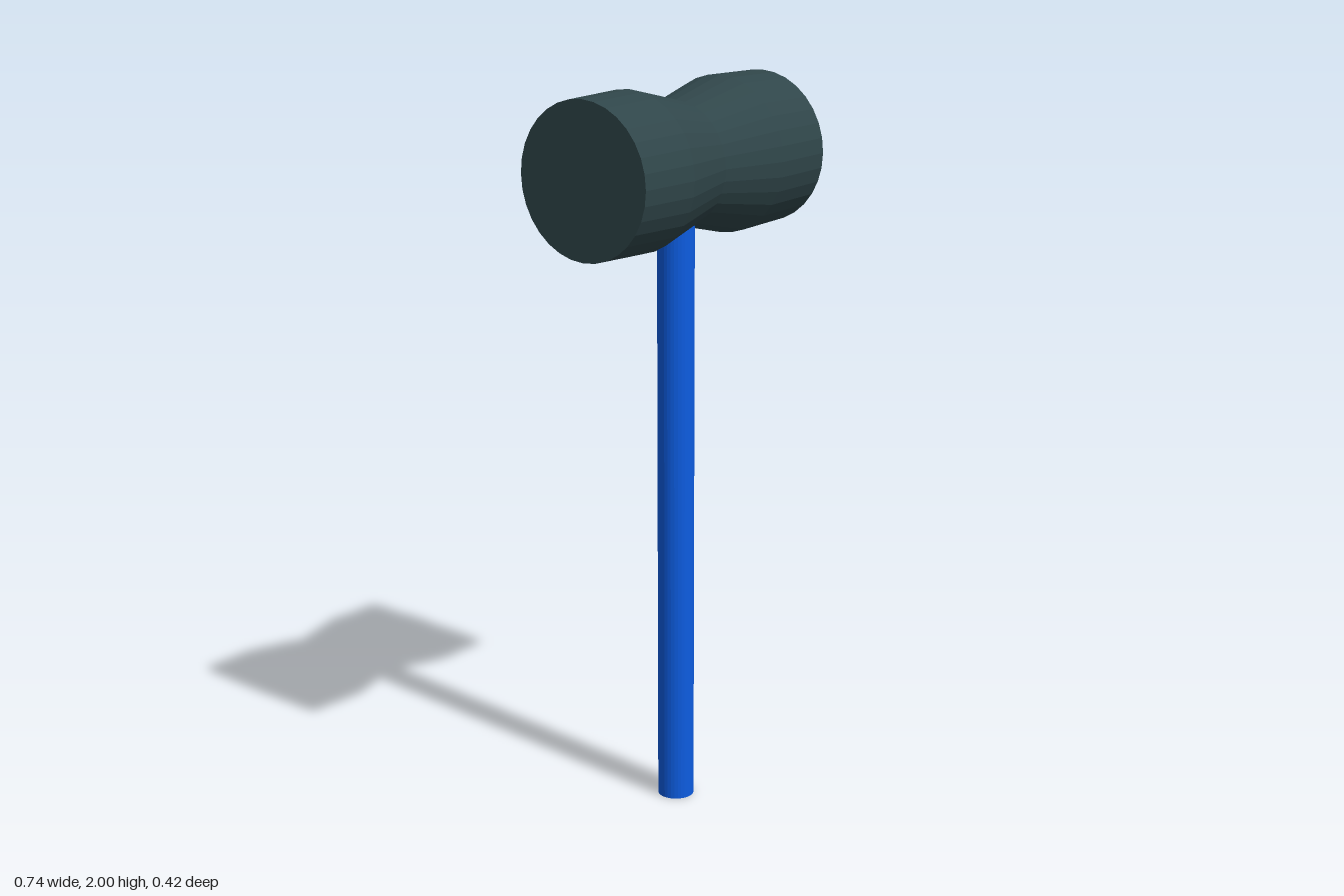
import * as THREE from 'three';

const SIDES = 32;

export function createModel() {
  const model = new THREE.Group();
  model.name = 'mallet';

  // Handle: a plain round rod that runs up into the head
  const handleLength = 1.79, handleRadius = 0.05;
  const handle = new THREE.Mesh(
    new THREE.CylinderGeometry(handleRadius, handleRadius, handleLength, SIDES),
    new THREE.MeshStandardMaterial({ color: 0x0d5ce0, flatShading: true })
  );
  handle.name = 'handle';
  handle.position.y = handleLength / 2;
  model.add(handle);

  // Head: a waisted, closed profile turned around the x axis
  const profile = [
    [0, -0.372], [0.206, -0.372], [0.211, -0.186], [0.165, 0],
    [0.211, 0.186], [0.206, 0.372], [0, 0.372],
  ].map(([r, t]) => new THREE.Vector2(r, t));
  const head = new THREE.Mesh(
    new THREE.LatheGeometry(profile, SIDES).rotateZ(Math.PI / 2),
    new THREE.MeshStandardMaterial({ color: 0x30464a, flatShading: true })
  );
  head.name = 'head';
  head.position.y = 1.789;
  model.add(head);

  return model;
}
